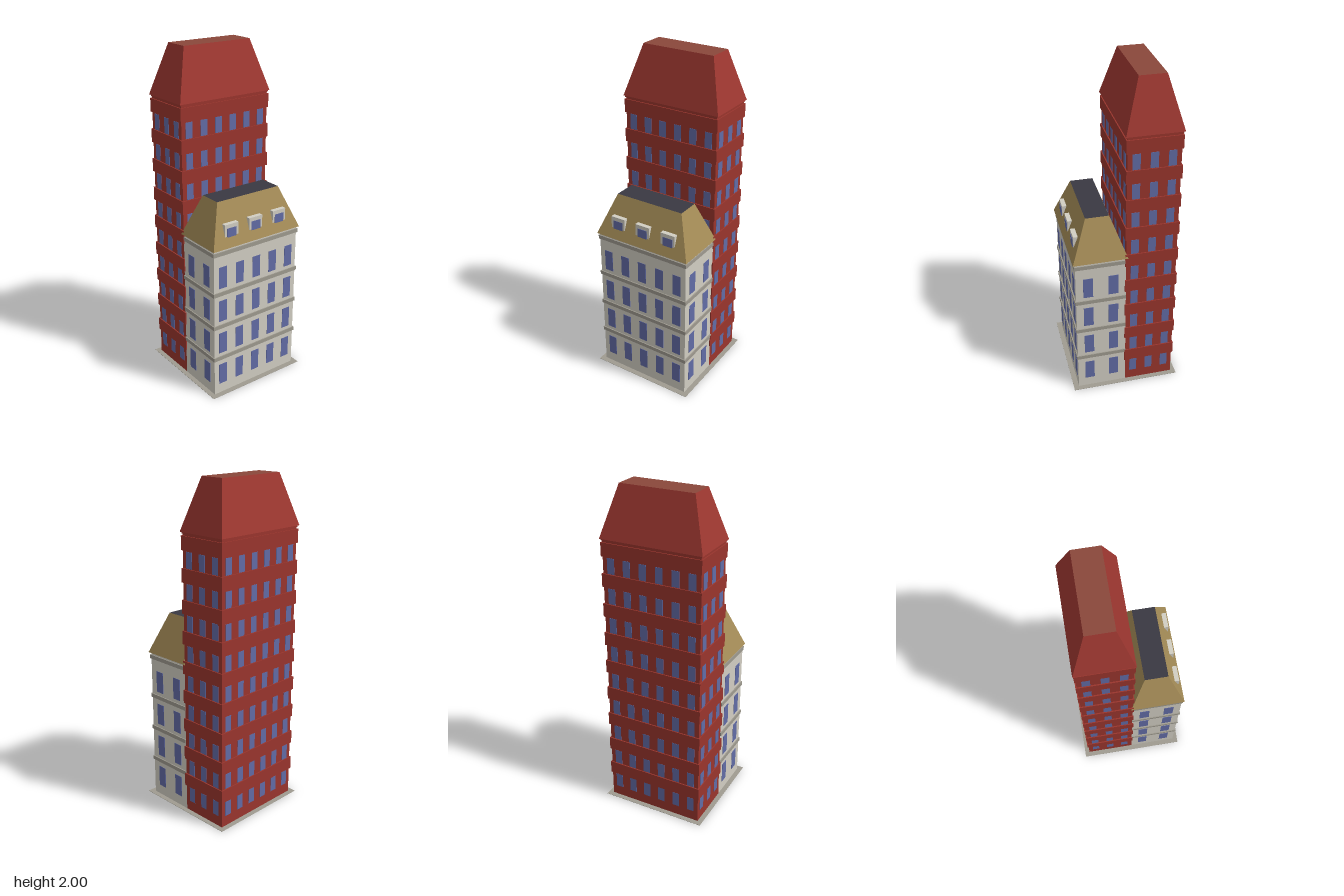
import * as THREE from 'three';
import { mergeGeometries } from 'three/addons/utils/BufferGeometryUtils.js';

const material = (name, color) => {
  const m = new THREE.MeshStandardMaterial({ color });
  m.name = name;
  return m;
};

export function createModel() {
  const brick = material('brick red', 0x9a352d);
  const redRoof = material('red roof', 0x9f3831);
  const redRoofTop = material('faded red roof top', 0x8a473b);
  const stone = material('cream stone', 0xd2cec3);
  const trim = material('grey trim', 0x9f9b90);
  const tan = material('tan roof', 0xa58c57);
  const slate = material('dark slate', 0x3a3942);
  const glass = material('blue glass', 0x626ca6);

  const model = new THREE.Group();
  model.name = 'twoBuildings';

  const add = (parent, name, geometry, mat) => {
    const mesh = new THREE.Mesh(geometry, mat);
    mesh.name = name;
    parent.add(mesh);
    return mesh;
  };

  // Box geometry given by its limits on each axis
  const boxGeo = (x0, x1, y0, y1, z0, z1) =>
    new THREE.BoxGeometry(x1 - x0, y1 - y0, z1 - z0)
      .translate((x0 + x1) / 2, (y0 + y1) / 2, (z0 + z1) / 2);

  // Hipped roof: a box whose top corners are drawn in to a smaller rectangle
  const roofGeo = (x0, x1, y0, y1, z, topX0, topX1, topZ) => {
    const g = boxGeo(x0, x1, y0, y1, -z, z);
    const p = g.attributes.position;
    const middle = (x0 + x1) / 2;
    for (let i = 0; i < p.count; i++) {
      if (p.getY(i) < (y0 + y1) / 2) continue;
      p.setX(i, p.getX(i) < middle ? topX0 : topX1);
      p.setZ(i, Math.sign(p.getZ(i)) * topZ);
    }
    g.computeVertexNormals();
    return g;
  };
  const roofMaterials = (side, top) => [side, side, top, side, side, side];

  // Thin panes, facing z (front and back) or x (sides)
  const T = 0.002;
  const paneZ = (x, y0, y1, z, w) => boxGeo(x - w / 2, x + w / 2, y0, y1, z - T, z + T);
  const paneX = (x, y0, y1, z, w) => boxGeo(x - T, x + T, y0, y1, z - w / 2, z + w / 2);

  // Ground plate
  add(model, 'groundPlate', boxGeo(-0.33, 0.33, 0, 0.002, -0.33, 0.33), trim);

  // Tall red tower
  const tower = new THREE.Group();
  tower.name = 'tower';
  model.add(tower);
  add(tower, 'towerWalls', boxGeo(-0.3, 0, 0.001, 1.7, -0.3, 0.3), brick);
  const towerBands = [], towerPanes = [];
  for (let floor = 0; floor < 9; floor++) {
    const y = 0.18 * floor;
    towerBands.push(boxGeo(-0.307, 0.007, y + 0.165, y + 0.245, -0.307, 0.307));
    for (const x of [-0.25, -0.15, -0.05])
      for (const z of [-0.3, 0.3]) towerPanes.push(paneZ(x, y + 0.067, y + 0.16, z, 0.045));
    for (const z of [-0.25, -0.15, -0.05, 0.05, 0.15, 0.25]) {
      towerPanes.push(paneX(-0.3, y + 0.067, y + 0.16, z, 0.045));
      // The inner side shows only above the lower building
      if (y > 0.8) towerPanes.push(paneX(0, y + 0.067, y + 0.16, z, 0.045));
    }
  }
  add(tower, 'towerBands', mergeGeometries(towerBands), brick);
  add(tower, 'towerWindows', mergeGeometries(towerPanes), glass);
  add(tower, 'towerRoof', roofGeo(-0.311, 0.011, 1.705, 2, 0.311, -0.227, -0.074, 0.225),
    roofMaterials(redRoof, redRoofTop));
  add(tower, 'towerCornice', boxGeo(-0.304, 0.004, 1.695, 1.706, -0.304, 0.304), brick);

  // Lower cream house
  const house = new THREE.Group();
  house.name = 'house';
  model.add(house);
  add(house, 'houseWalls', boxGeo(0, 0.298, 0.001, 0.945, -0.3, 0.3), stone);
  const houseBands = [], housePanes = [];
  for (let floor = 0; floor < 4; floor++) {
    const y = 0.212 * floor;
    const bandY = [0.231, 0.443, 0.655, 0.905][floor];
    houseBands.push(boxGeo(0, 0.304, bandY, bandY + 0.024, -0.306, 0.306));
    for (const x of [0.075, 0.225])
      for (const z of [-0.3, 0.3]) housePanes.push(paneZ(x, y + 0.065, y + 0.198, z, 0.058));
    for (const z of [-0.24, -0.12, 0, 0.12, 0.24])
      housePanes.push(paneX(0.298, y + 0.065, y + 0.198, z, 0.055));
  }
  add(house, 'houseBands', mergeGeometries(houseBands), trim);
  add(house, 'houseWindows', mergeGeometries(housePanes), glass);
  add(house, 'houseRoof', roofGeo(-0.011, 0.311, 0.943, 1.19, 0.311, 0.08, 0.217, 0.218),
    roofMaterials(tan, slate));

  // Dormers on the outer roof slope
  for (const z of [-0.172, 0, 0.17]) {
    const dormer = new THREE.Group();
    dormer.name = 'dormer';
    house.add(dormer);
    add(dormer, 'dormerFrame', boxGeo(0.23, 0.288, 0.985, 1.075, z - 0.0465, z + 0.0465), stone);
    add(dormer, 'dormerWindow', paneX(0.288, 0.985, 1.052, z, 0.064), glass);
  }

  return model;
}
